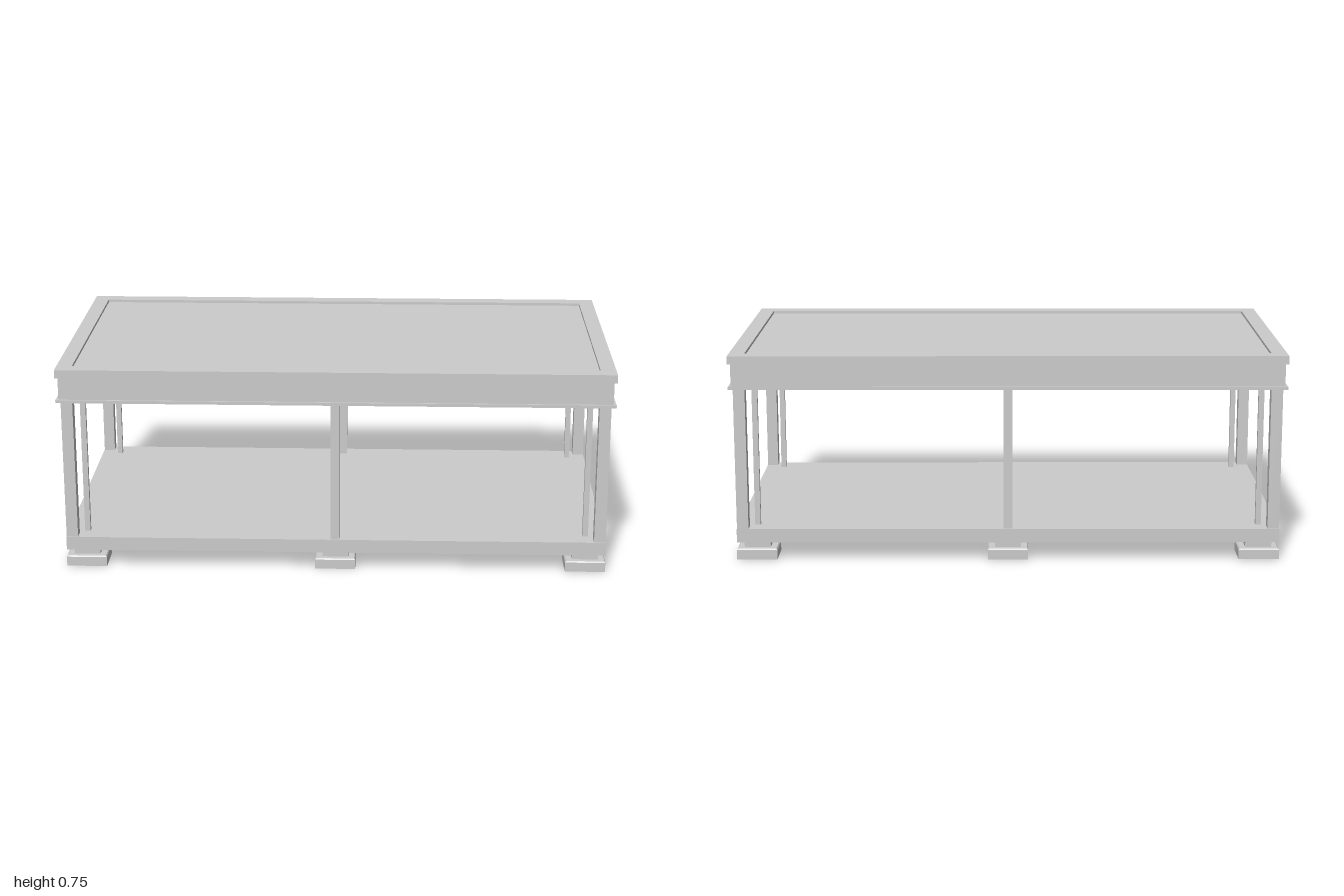
import * as THREE from 'three';

const grey = new THREE.MeshStandardMaterial({ color: 0xcccccc, flatShading: true });
const shellMat = new THREE.MeshStandardMaterial({ color: 0xcccccc, flatShading: true, side: THREE.DoubleSide });

// Box standing from y0 to y1, centred on x, z
function box(name, w, d, y0, y1, x = 0, z = 0) {
  const mesh = new THREE.Mesh(new THREE.BoxGeometry(w, y1 - y0, d), grey);
  mesh.position.set(x, (y0 + y1) / 2, z);
  mesh.name = name;
  return mesh;
}

// Horizontal rectangular frame, border wide, from y0 to y1
function frame(name, w, d, border, y0, y1) {
  const rect = (path, a, b) => path.moveTo(-a, -b).lineTo(a, -b).lineTo(a, b).lineTo(-a, b).closePath();
  const shape = rect(new THREE.Shape(), w / 2, d / 2);
  shape.holes.push(rect(new THREE.Path(), w / 2 - border, d / 2 - border));
  const geo = new THREE.ExtrudeGeometry(shape, { depth: y1 - y0, bevelEnabled: false });
  geo.rotateX(-Math.PI / 2);
  const mesh = new THREE.Mesh(geo, grey);
  mesh.position.y = y0;
  mesh.name = name;
  return mesh;
}

// Foot: hollow bevelled pad, open below, with a solid neck
function foot(x, z) {
  const group = new THREE.Group();
  group.name = 'foot';
  const r = Math.SQRT1_2;
  const profile = [[r, 0], [r, 0.035], [r * 0.95, 0.04], [0, 0.04]].map(([a, b]) => new THREE.Vector2(a, b));
  const geo = new THREE.LatheGeometry(profile, 4, Math.PI / 4);
  geo.scale(0.147, 1, 0.124);
  const pad = new THREE.Mesh(geo, shellMat);
  pad.name = 'footPad';
  group.add(pad, box('footNeck', 0.095, 0.08, 0.04, 0.065));
  group.position.set(x, 0, z);
  return group;
}

export function createModel() {
  const table = new THREE.Group();
  table.name = 'coffeeTable';

  // Top: raised rim around a slightly sunken panel
  table.add(frame('topRim', 2, 1.045, 0.056, 0.725, 0.755));
  table.add(box('topPanel', 1.888, 0.933, 0.66, 0.745));

  // Apron and the thin lip under it
  table.add(frame('apron', 1.98, 1.03, 0.05, 0.643, 0.725));
  table.add(frame('apronLip', 2, 1.045, 0.06, 0.632, 0.643));

  // Lower shelf
  table.add(box('shelf', 1.97, 1.022, 0.065, 0.115));

  for (const sz of [1, -1]) {
    // Corner legs with a slim post set inside each
    for (const sx of [1, -1]) {
      table.add(box('cornerLeg', 0.042, 0.042, 0.115, 0.632, sx * 0.963, sz * 0.487));
      table.add(box('slimPost', 0.02, 0.018, 0.115, 0.66, sx * 0.915, sz * 0.439));
    }
    // Middle leg
    table.add(box('middleLeg', 0.033, 0.058, 0.115, 0.643, 0, sz * 0.477));
    // Feet
    for (const x of [-0.913, 0, 0.913]) table.add(foot(x, sz * 0.446));
  }
  return table;
}
